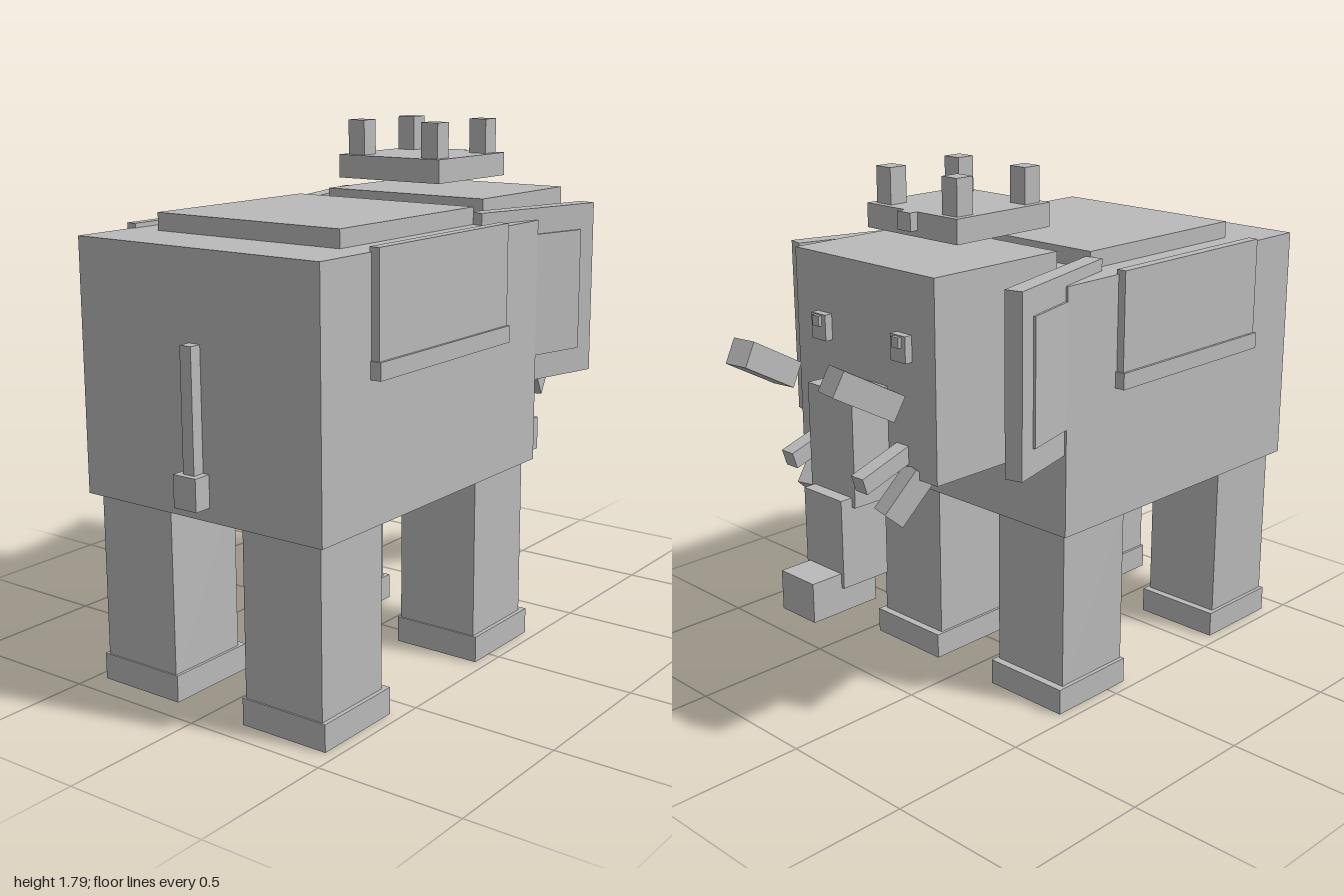
import * as THREE from 'three';

export function createModel() {
  const model = new THREE.Group();
  model.name = 'elephant';
  const grey = new THREE.MeshStandardMaterial({ color: 0xbababa });
  grey.name = 'grey';

  // box from centre, size and optional yaw and pitch
  const block = (name, [x, y, z], [w, h, d], yaw = 0, pitch = 0, parent = model) => {
    const m = new THREE.Mesh(new THREE.BoxGeometry(w, h, d), grey);
    m.name = name;
    m.position.set(x, y, z);
    m.rotation.set(pitch, yaw, 0, 'YXZ');
    parent.add(m);
    return m;
  };
  // box from its limits along each axis
  const span = (name, x0, x1, y0, y1, z0, z1) =>
    block(name, [(x0 + x1) / 2, (y0 + y1) / 2, (z0 + z1) / 2], [x1 - x0, y1 - y0, z1 - z0]);
  const deg = THREE.MathUtils.degToRad;

  // body and head, facing -z
  span('body', -0.475, 0.475, 0.645, 1.475, -0.245, 0.94);
  span('head', -0.325, 0.325, 0.896, 1.546, -0.663, -0.133);

  // trunk
  span('upperTrunk', -0.105, 0.105, 0.805, 1.17, -0.807, -0.6);
  span('lowerTrunk', -0.09, 0.09, 0.543, 0.836, -0.85, -0.67);
  span('trunkTip', -0.078, 0.078, 0.46, 0.59, -0.963, -0.712);

  // tail
  span('tail', -0.022, 0.022, 0.79, 1.19, 0.93, 0.98);
  span('tailTuft', -0.045, 0.045, 0.69, 0.795, 0.92, 1.0);

  // blanket on the back
  span('blanketTop', -0.363, 0.363, 1.46, 1.533, -0.015, 0.703);

  // raised headdress with four posts
  span('headdress', -0.208, 0.208, 1.596, 1.676, -0.456, -0.042);
  span('headdressGem', -0.03, 0.03, 1.617, 1.676, -0.486, -0.45);
  for (const x of [-0.152, 0.152])
    for (const z of [-0.4, -0.1])
      block('headdressPost', [x, 1.735, z], [0.067, 0.12, 0.067]);

  for (const s of [-1, 1]) {
    // blanket flap and its trim
    block('blanketFlap', [s * 0.485, 1.295, 0.347], [0.036, 0.39, 0.706]);
    block('blanketTrim', [s * 0.49, 1.128, 0.347], [0.044, 0.056, 0.718]);

    // legs and feet
    for (const z of [-0.068, 0.76]) {
      block('leg', [s * 0.296, 0.345, z], [0.298, 0.6, 0.298]);
      block('foot', [s * 0.298, 0.045, z - 0.011], [0.322, 0.09, 0.33]);
    }

    // ear with a thin panel on its outer face
    const ear = new THREE.Group();
    ear.name = 'ear';
    ear.position.set(s * 0.442, 1.22, -0.266);
    ear.rotation.y = -s * deg(15);
    block('earFlap', [0, 0, 0], [0.06, 0.59, 0.527], 0, 0, ear);
    block('earPanel', [s * 0.0335, 0, 0], [0.009, 0.415, 0.39], 0, 0, ear);
    model.add(ear);

    // eye and pupil
    block('eye', [s * 0.188, 1.312, -0.673], [0.068, 0.085, 0.034]);
    block('pupil', [s * 0.188, 1.333, -0.693], [0.032, 0.034, 0.018]);

    // tusk pieces
    block('tuskBase', [s * 0.2, 0.842, -0.688], [0.075, 0.08, 0.17], s * deg(15), deg(-49));
    block('tuskMiddle', [s * 0.17, 0.947, -0.723], [0.054, 0.056, 0.25], 0, deg(-18));
    block('tuskTip', [s * 0.235, 1.22, -0.874], [0.085, 0.085, 0.235], s * deg(9), deg(29));
  }
  return model;
}
